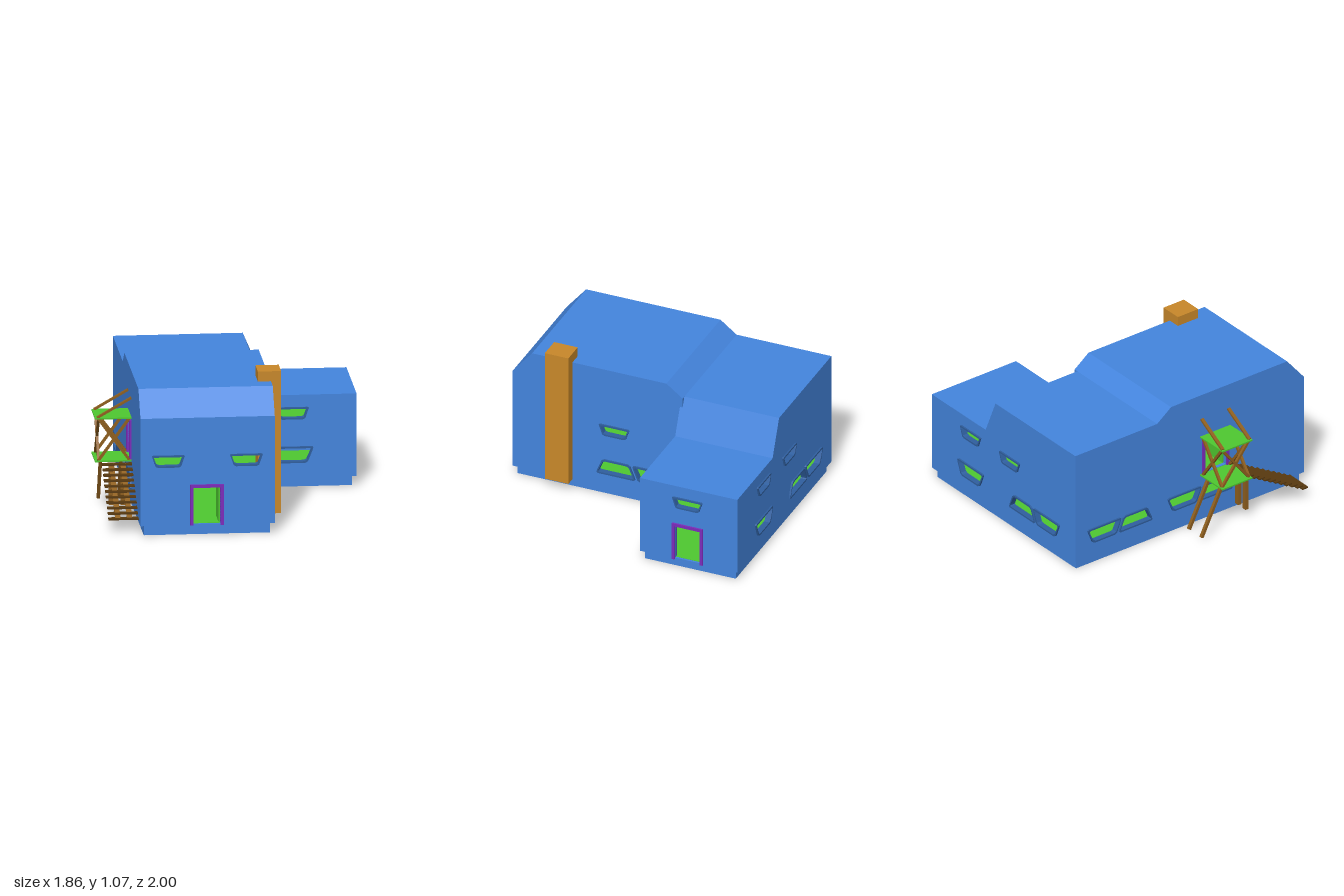
import * as THREE from 'three';

const mat = (color) => new THREE.MeshStandardMaterial({ color, flatShading: true, side: THREE.DoubleSide });
const BLUE = mat(0x4485de), TRIM = mat(0x2f5f9f), ORANGE = mat(0xc8882a), GREEN = mat(0x4fc830);
const PURPLE = mat(0x7d2bbb), WOOD = mat(0x8f5f1e), DARK_WOOD = mat(0x58390f), TEAL = mat(0x5ca5c8);

const T = 0.025; // wall thickness
const BASE = 0.07; // top of the foundation

const toShape = (pts) => new THREE.Shape(pts.map(([x, y]) => new THREE.Vector2(x, y)));

function add(parent, name, geometry, material) {
  const mesh = new THREE.Mesh(geometry, material);
  mesh.name = name;
  parent.add(mesh);
  return mesh;
}

function extrude(shape, from, to) {
  const g = new THREE.ExtrudeGeometry(shape, { depth: to - from, bevelEnabled: false });
  return g.translate(0, 0, from);
}

function box(parent, name, material, [x0, x1], [y0, y1], [z0, z1]) {
  const mesh = add(parent, name, new THREE.BoxGeometry(x1 - x0, y1 - y0, z1 - z0), material);
  mesh.position.set((x0 + x1) / 2, (y0 + y1) / 2, (z0 + z1) / 2);
  return mesh;
}

// Square timber between two points
function beam(parent, name, a, b, w = 0.022, d = w, material = WOOD) {
  const p = new THREE.Vector3(...a), q = new THREE.Vector3(...b);
  const mesh = add(parent, name, new THREE.BoxGeometry(w, d, p.distanceTo(q)), material);
  mesh.position.copy(p).add(q).multiplyScalar(0.5);
  mesh.lookAt(q);
  return mesh;
}

// Horizontal slab from an outline in x and z
function slab(parent, name, outline, y0, y1, material) {
  const g = extrude(toShape(outline.map(([x, z]) => [x, -z])), y0, y1);
  return add(parent, name, g.rotateX(-Math.PI / 2), material);
}

// Trapezoid window outline with clipped corners; flip = -1 puts the wide edge at the bottom
function windowPoints({ u, y, w, h, flip = 1 }, inset = 0) {
  const a = w / 2 - inset, b = w * 0.31 - inset * 0.7, c = h / 2 - inset, f = flip;
  return [[-a, c * 0.88], [-a + 0.008, c], [a - 0.008, c], [a, c * 0.88], [a - 0.006, c * 0.5],
    [b + 0.018, -c * 0.8], [b, -c], [-b, -c], [-b - 0.018, -c * 0.8], [-a + 0.006, c * 0.5]]
    .map(([px, py]) => [u + px, y + py * f]);
}

const upper = (u) => ({ u, y: 0.522, w: 0.225, h: 0.085 });
const lower = (u, flip = 1) => ({ u, y: 0.23, w: 0.285, h: 0.115, flip });
const pair = (u, first) => [lower(u - 0.134, first), lower(u + 0.134, -first)];
const door = (u, y0 = BASE, y1 = 0.355) => ({ u, y0, y1, w: 0.23, isDoor: true });

// Wall with framed openings: u runs to the right as seen from outside, local +z is outward
function wall(parent, name, outline, openings, angle, position) {
  const group = new THREE.Group();
  group.name = name;
  const shape = toShape(outline);
  for (const o of openings) {
    if (o.isDoor) {
      const a = o.w / 2, b = a - 0.022, top = o.y1 - 0.022, sill = o.y0 + 0.008;
      shape.holes.push(toShape([[o.u - b, sill], [o.u + b, sill], [o.u + b, top], [o.u - b, top]]));
      const frame = toShape([[-a, o.y0], [-a, o.y1], [a, o.y1], [a, o.y0], [b, o.y0], [b, top], [-b, top], [-b, o.y0]]
        .map(([x, y]) => [o.u + x, y]));
      add(group, 'doorFrame', extrude(frame, -T - 0.008, 0.013), PURPLE);
      // Leaf standing open to the inside
      const leaf = add(group, 'openDoor', new THREE.BoxGeometry(0.01, top - sill, 0.17), GREEN);
      leaf.position.set(o.u + b - 0.005, (top + sill) / 2, -T - 0.09);
    } else {
      shape.holes.push(toShape(windowPoints(o, 0.006)));
      const frame = toShape(windowPoints(o));
      frame.holes.push(toShape(windowPoints(o, 0.012)));
      add(group, 'windowFrame', extrude(frame, -T - 0.005, 0.012), TRIM);
    }
  }
  add(group, 'wallPanel', extrude(shape, -T, 0), BLUE);
  group.rotation.y = angle;
  group.position.set(...position);
  parent.add(group);
}

// Folded roof sheet with a little thickness
function roofGeometry(line, depth) {
  const under = line.map(([a, y]) => [a, y - 0.02]).reverse();
  return extrude(toShape([...line, ...under]), 0, depth);
}

const footprint = (w, e, s, n, ix, iz) => [[w, s], [ix, s], [ix, iz], [e, iz], [e, n], [w, n]];

function createHouse() {
  const house = new THREE.Group();
  house.name = 'house';

  // Foundation and floors
  slab(house, 'foundation', footprint(-0.655, 0.89, 0.96, -0.96, 0.21, -0.285), 0, BASE, BLUE);
  slab(house, 'floorEdge', footprint(-0.68, 0.92, 0.985, -0.985, 0.24, -0.26), BASE, BASE + 0.005, BLUE);
  const inside = footprint(-0.665, 0.905, 0.97, -0.97, 0.225, -0.275);
  slab(house, 'groundFloor', inside, BASE + 0.005, BASE + 0.01, GREEN);
  slab(house, 'upperFloor', inside, 0.36, 0.37, GREEN);

  // Outer walls
  const main = [[0.985, 0.825], [0.84, 1], [-0.16, 1], [-0.28, 0.91]];
  const rear = [[-0.68, 0.91], [0.21, 0.91], [0.32, 0.65], [0.92, 0.65]];
  wall(house, 'frontWall', [[-0.68, BASE], [0.24, BASE], [0.24, 0.825], [-0.68, 0.825]],
    [upper(-0.49), upper(0.045), door(-0.225)], 0, [0, 0, 0.985]);
  wall(house, 'leftWall', [[-0.985, BASE], ...main.map(([z, y]) => [-z, y]), [0.28, BASE]],
    [upper(-0.227), ...pair(-0.08, -1)], Math.PI / 2, [0.24, 0, 0]);
  wall(house, 'wingFrontWall', [[0.21, BASE], ...rear.slice(1), [0.92, BASE]],
    [upper(0.48), lower(0.48)], 0, [0, 0, -0.26]);
  wall(house, 'wingEndWall', [[0.26, BASE], [0.985, BASE], [0.985, 0.65], [0.26, 0.65]],
    [upper(0.615), door(0.615)], Math.PI / 2, [0.92, 0, 0]);
  wall(house, 'backWall', [[0.68, BASE], ...rear.map(([x, y]) => [-x, y]), [-0.92, BASE]],
    [upper(-0.48), upper(-0.045), lower(-0.48), ...pair(0.232, -1)], Math.PI, [0, 0, -0.985]);
  wall(house, 'rightWall', [[0.985, BASE], ...main, [-0.985, 0.91], [-0.985, BASE]],
    [...pair(-0.605, 1), ...pair(0.085, 1), door(0.22, 0.37, 0.65)], -Math.PI / 2, [-0.68, 0, 0]);

  // Roofs
  add(house, 'mainRoof', roofGeometry(main, 0.92).rotateY(-Math.PI / 2), BLUE).position.x = 0.24;
  add(house, 'rearRoof', roofGeometry(rear, 0.725), BLUE).position.z = -0.985;

  // Chimney
  box(house, 'chimney', ORANGE, [0.15, 0.31], [BASE, 1.07], [0.54, 0.715]);

  // Corner stair room upstairs
  box(house, 'partition', TEAL, [-0.43, -0.3], [0.37, 0.9], [-0.31, -0.3]);
  box(house, 'partition', TEAL, [-0.31, -0.3], [0.37, 0.9], [-0.96, -0.53]);
  box(house, 'partitionPost', PURPLE, [-0.45, -0.43], [0.37, 0.66], [-0.315, -0.295]);
  box(house, 'partitionPost', PURPLE, [-0.315, -0.295], [0.37, 0.66], [-0.53, -0.51]);
  for (let i = 0; i < 10; i++) {
    const z = -0.4 - i * 0.05, y = 0.4 + i * 0.027;
    box(house, 'innerStairTread', WOOD, [-0.65, -0.45], [y, y + 0.01], [z - 0.05, z]);
  }
  return house;
}

function createBalcony() {
  const balcony = new THREE.Group();
  balcony.name = 'balcony';
  const xo = -0.915, xi = -0.695, z0 = 0.105, z1 = 0.335;

  box(balcony, 'deck', GREEN, [-0.93, -0.68], [0.365, 0.375], [0.09, 0.35]);
  box(balcony, 'canopy', GREEN, [-0.93, -0.68], [0.665, 0.675], [0.09, 0.35]);

  // Cross braces on both ends and the outer face, and ties up to the wall
  for (const z of [z0, z1]) {
    beam(balcony, 'crossBrace', [xo + 0.01, 0.375, z], [xi, 0.665, z], 0.018);
    beam(balcony, 'crossBrace', [xo + 0.01, 0.665, z], [xi, 0.375, z], 0.018);
    beam(balcony, 'roofTie', [xo, 0.675, z], [-0.68, 0.81, z], 0.024, 0.014);
  }
  beam(balcony, 'crossBrace', [xo + 0.01, 0.375, z0], [xo + 0.01, 0.665, z1], 0.018);
  beam(balcony, 'crossBrace', [xo + 0.01, 0.665, z0], [xo + 0.01, 0.375, z1], 0.018);

  // Raked legs, stair posts and stringers
  for (const x of [-0.87, -0.73]) beam(balcony, 'leg', [x, 0.365, 0.13], [x, 0.015, -0.045]);
  for (const x of [-0.82, -0.74]) {
    box(balcony, 'stairPost', WOOD, [x - 0.018, x + 0.018], [BASE, 0.36], [0.36, 0.385]);
    beam(balcony, 'stringer', [x, 0.35, 0.36], [x, 0.085, 0.84], 0.036, 0.012);
  }

  // Stair treads
  const n = 11;
  for (let i = 0; i < n; i++) {
    const y = 0.355 - (i * 0.265) / (n - 1), z = 0.35 + (i * 0.465) / (n - 1);
    box(balcony, 'stairTread', DARK_WOOD, [-0.885, -0.68], [y - 0.005, y + 0.005], [z, z + 0.048]);
  }
  return balcony;
}

export function createModel() {
  const model = new THREE.Group();
  model.name = 'houseWithBalcony';
  model.add(createHouse(), createBalcony());
  return model;
}
